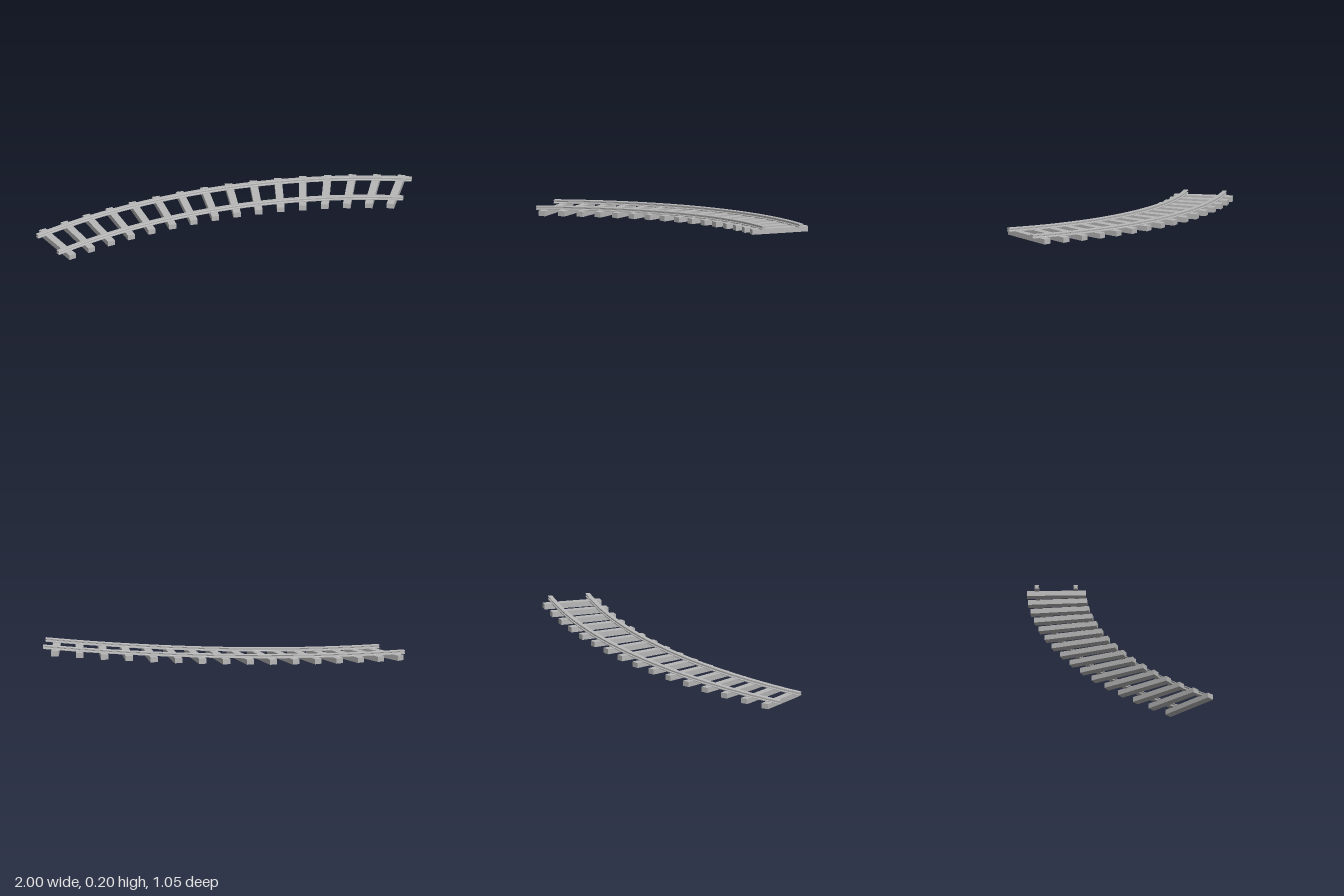
import * as THREE from 'three';

const CENTRE_X = -1, CENTRE_Z = 2.347;   // pivot of the bend
const RADIUS = 2.705, SWEEP = Math.PI / 4;
const BASE = -0.005, RISE = 0.16;        // steady climb along the track
const TIES = 16, GAUGE = 0.22;
const TIE = { width: 0.043, height: 0.03, length: 0.335 };

// Point on the climbing bend: t runs 0..1 along the track
function onTrack(t, offset, height) {
  const a = t * SWEEP, r = RADIUS + offset;
  return new THREE.Vector3(
    CENTRE_X + r * Math.sin(a),
    BASE + RISE * t + height,
    CENTRE_Z - r * Math.cos(a)
  );
}

// Rail section with foot, web and head, swept along the bend
function railGeometry(offset) {
  const half = [
    [0.013, 0.028], [0.013, 0.033], [0.007, 0.036],
    [0.007, 0.041], [0.013, 0.043], [0.013, 0.048], [0.010, 0.050],
  ];
  const outline = [...half, ...half.map(([x, y]) => [-x, y]).reverse()];
  const shape = new THREE.Shape(outline.map(([x, y]) => new THREE.Vector2(x, y)));
  const geo = new THREE.ExtrudeGeometry(shape, { depth: 1, steps: 32, bevelEnabled: false });
  const pos = geo.attributes.position;
  for (let i = 0; i < pos.count; i++) {
    const p = onTrack(pos.getZ(i), offset + pos.getX(i), pos.getY(i));
    pos.setXYZ(i, p.x, p.y, p.z);
  }
  geo.computeVertexNormals();
  return geo;
}

export function createModel() {
  const track = new THREE.Group();
  track.name = 'curvedTrack';
  const grey = new THREE.MeshStandardMaterial({ color: 0xb8b8b8 });
  grey.name = 'plainGrey';

  // Two rails
  for (const [name, side] of [['outerRail', 1], ['innerRail', -1]]) {
    const rail = new THREE.Mesh(railGeometry(side * GAUGE / 2), grey);
    rail.name = name;
    track.add(rail);
  }

  // Level ties, evenly spaced and pointing at the pivot
  const tieGeo = new THREE.BoxGeometry(TIE.width, TIE.height, TIE.length);
  for (let i = 0; i < TIES; i++) {
    const t = (i + 0.5) / TIES;
    const tie = new THREE.Mesh(tieGeo, grey);
    tie.name = `tie${i + 1}`;
    tie.position.copy(onTrack(t, 0, TIE.height / 2));
    tie.rotation.y = -t * SWEEP;
    track.add(tie);
  }
  return track;
}
